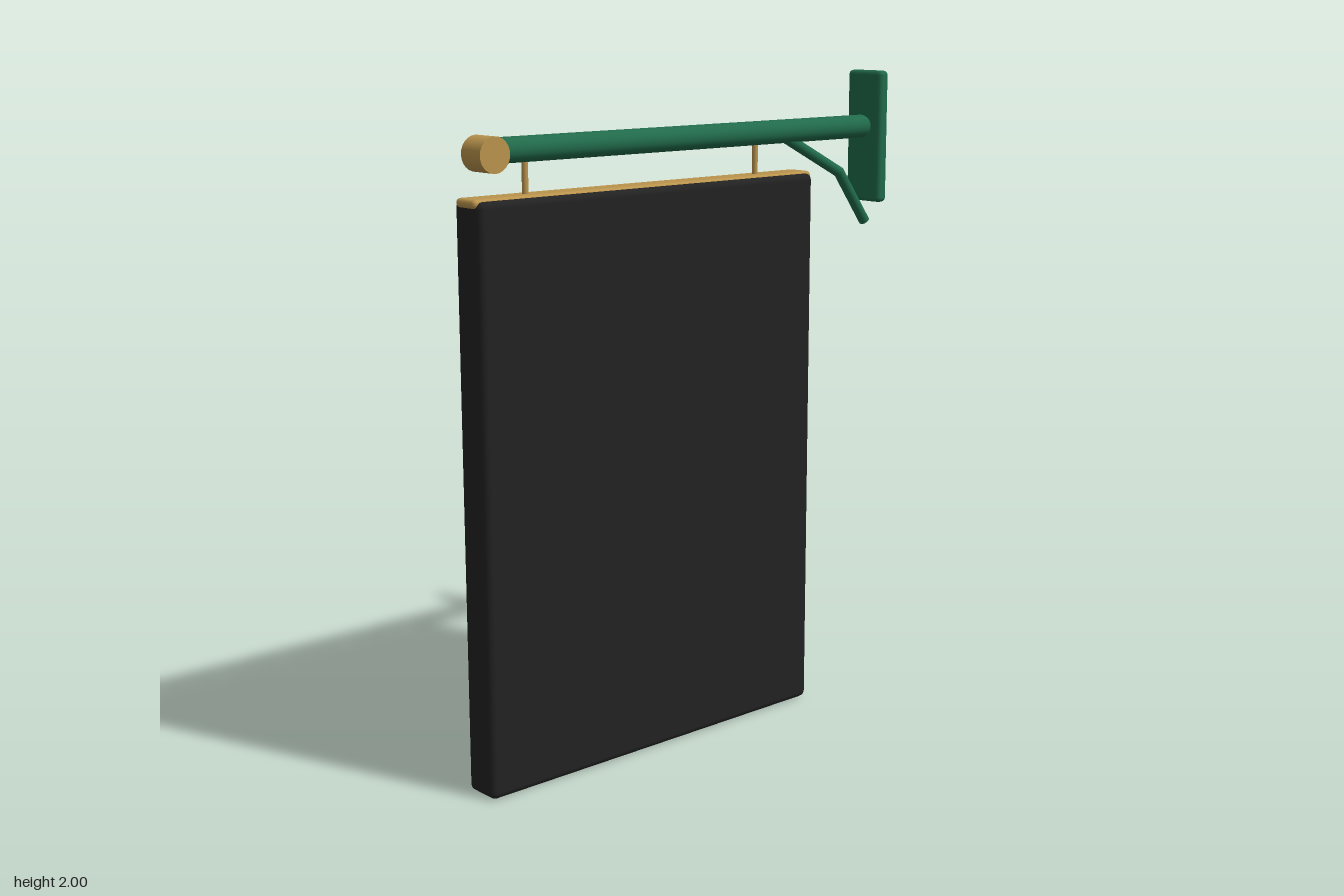
import * as THREE from 'three';
import { RoundedBoxGeometry } from 'three/addons/geometries/RoundedBoxGeometry.js';

const material = (name, color) => {
  const m = new THREE.MeshStandardMaterial({ color });
  m.name = name;
  return m;
};

export function createModel() {
  const group = new THREE.Group();
  const green = material('green paint', 0x216b4b);
  const black = material('black board', 0x222222);
  const gold = material('gold', 0xba944d);
  const Z = -0.027; // shared centre plane of board, arm and wall plate

  const add = (name, geometry, mat, x = 0, y = 0, z = Z) => {
    const mesh = new THREE.Mesh(geometry, mat);
    mesh.name = name;
    mesh.position.set(x, y, z);
    group.add(mesh);
    return mesh;
  };

  // Round bar running between two points
  const bar = (name, a, b, radius, mat) => {
    const dir = b.clone().sub(a);
    const mid = a.clone().add(b).multiplyScalar(0.5);
    const mesh = add(name, new THREE.CylinderGeometry(radius, radius, dir.length(), 16), mat, mid.x, mid.y, mid.z);
    mesh.quaternion.setFromUnitVectors(new THREE.Vector3(0, 1, 0), dir.normalize());
    return mesh;
  };

  // Hanging board with a gold capping strip
  add('signBoard', new RoundedBoxGeometry(1.26, 1.698, 0.12, 2, 0.02), black, -0.143, 0.849);
  add('capStrip', new RoundedBoxGeometry(1.274, 0.026, 0.088, 2, 0.012), gold, -0.143, 1.691);

  // Hanger rods
  for (const x of [-0.576, 0.294]) {
    add('hangerRod', new THREE.CylinderGeometry(0.009, 0.009, 0.12, 12), gold, x, 1.75);
  }

  // Horizontal arm with softened ends
  const r = 0.036, half = 0.773, bevel = 0.02;
  const profile = [
    [0, -half], [r - 0.018, -half], [r - 0.005, -half + 0.007], [r, -half + bevel],
    [r, half - bevel], [r - 0.005, half - 0.007], [r - 0.018, half], [0, half],
  ].map(([px, py]) => new THREE.Vector2(px, py));
  add('arm', new THREE.LatheGeometry(profile, 20), green, 0.007, 1.826).rotation.z = -Math.PI / 2;

  // Finial disc at the free end, facing forward
  add('finial', new THREE.CylinderGeometry(0.049, 0.049, 0.084, 24), gold, -0.766, 1.827, 0.055)
    .rotation.x = Math.PI / 2;

  // Wall plate
  add('wallPlate', new RoundedBoxGeometry(0.04, 0.412, 0.142, 2, 0.014), green, 0.79, 1.794);

  // Bent brace under the arm
  const path = [[0.40, 1.818], [0.662, 1.687], [0.783, 1.524]].map(([x, y]) => new THREE.Vector3(x, y, Z));
  bar('braceUpper', path[0], path[1], 0.017, green);
  bar('braceLower', path[1], path[2], 0.017, green);
  add('braceBend', new THREE.SphereGeometry(0.017, 16, 10), green, path[1].x, path[1].y);

  return group;
}
